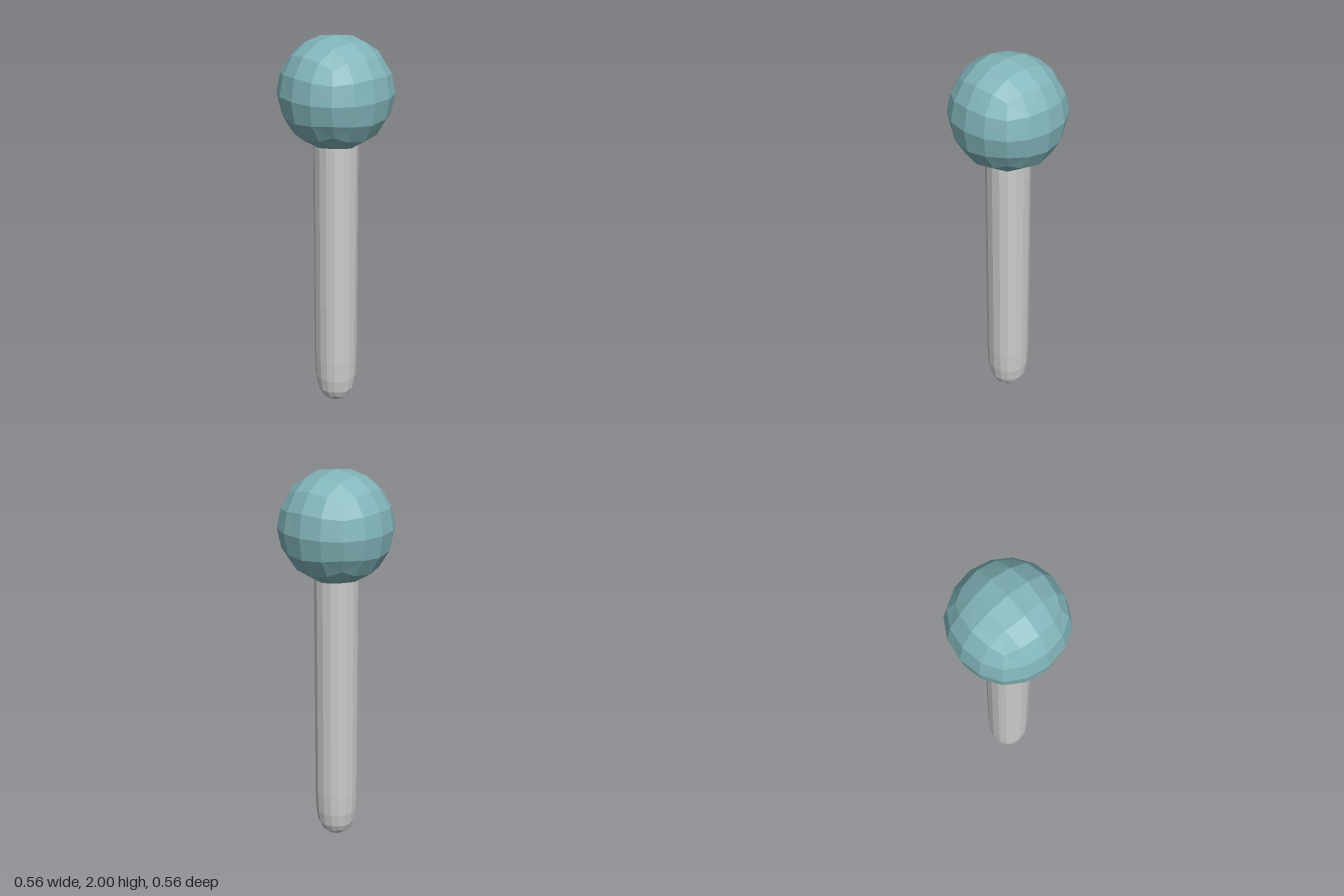
import * as THREE from 'three';

// Square prism cage: four corners at each height, closed at both ends.
function prismCage(half, heights) {
  const verts = [], quads = [[0, 1, 2, 3]];
  for (const y of heights) {
    for (const [sx, sz] of [[-1, -1], [1, -1], [1, 1], [-1, 1]]) {
      verts.push(new THREE.Vector3(sx * half, y, sz * half));
    }
  }
  for (let k = 0; k < heights.length - 1; k++) {
    for (let i = 0; i < 4; i++) {
      const a = k * 4 + i, b = k * 4 + (i + 1) % 4;
      quads.push([a, a + 4, b + 4, b]);
    }
  }
  const t = (heights.length - 1) * 4;
  quads.push([t + 3, t + 2, t + 1, t]);
  return { verts, quads };
}

const average = (points) =>
  points.reduce((sum, p) => sum.add(p), new THREE.Vector3()).divideScalar(points.length);

// One smoothing step on a closed quad cage (Catmull-Clark).
function subdivide({ verts, quads }) {
  const facePoints = quads.map((q) => average(q.map((i) => verts[i])));
  const edges = new Map();
  const around = verts.map(() => ({ faces: [], mids: [] }));
  const key = (a, b) => Math.min(a, b) + '_' + Math.max(a, b);
  quads.forEach((q, f) => q.forEach((a, i) => {
    const b = q[(i + 1) % 4], k = key(a, b);
    around[a].faces.push(facePoints[f]);
    if (!edges.has(k)) {
      const mid = average([verts[a], verts[b]]);
      edges.set(k, { a, b, faces: [], index: verts.length + quads.length + edges.size });
      around[a].mids.push(mid);
      around[b].mids.push(mid);
    }
    edges.get(k).faces.push(facePoints[f]);
  }));
  const moved = verts.map((p, i) => {
    const n = around[i].faces.length;
    return average(around[i].faces)
      .addScaledVector(average(around[i].mids), 2)
      .addScaledVector(p, n - 3)
      .divideScalar(n);
  });
  const edgePoints = [...edges.values()].map((e) => average([verts[e.a], verts[e.b], ...e.faces]));
  const newQuads = quads.flatMap((q, f) => q.map((a, i) => [
    a,
    edges.get(key(a, q[(i + 1) % 4])).index,
    verts.length + f,
    edges.get(key(q[(i + 3) % 4], a)).index,
  ]));
  return { verts: [...moved, ...facePoints, ...edgePoints], quads: newQuads };
}

function smoothedMesh(name, cage, color) {
  const { verts, quads } = subdivide(subdivide(cage));
  const geometry = new THREE.BufferGeometry().setFromPoints(verts);
  geometry.setIndex(quads.flatMap(([a, b, c, d]) => [a, b, c, a, c, d]));
  geometry.computeVertexNormals();
  const mesh = new THREE.Mesh(geometry, new THREE.MeshStandardMaterial({ color, flatShading: true }));
  mesh.name = name;
  return mesh;
}

export function createModel() {
  const group = new THREE.Group();
  group.name = 'ballHeadPin';

  // Ball head: a cube rounded into a faceted ball
  group.add(smoothedMesh('ballHead', prismCage(0.32, [1.4, 2.04]), 0x82b5ba));

  // Shaft: a long prism with extra loops to keep its ends tightly rounded
  group.add(smoothedMesh('shaft', prismCage(0.116, [-0.018, 0.28, 1.56, 1.8]), 0xcccccc));

  return group;
}
